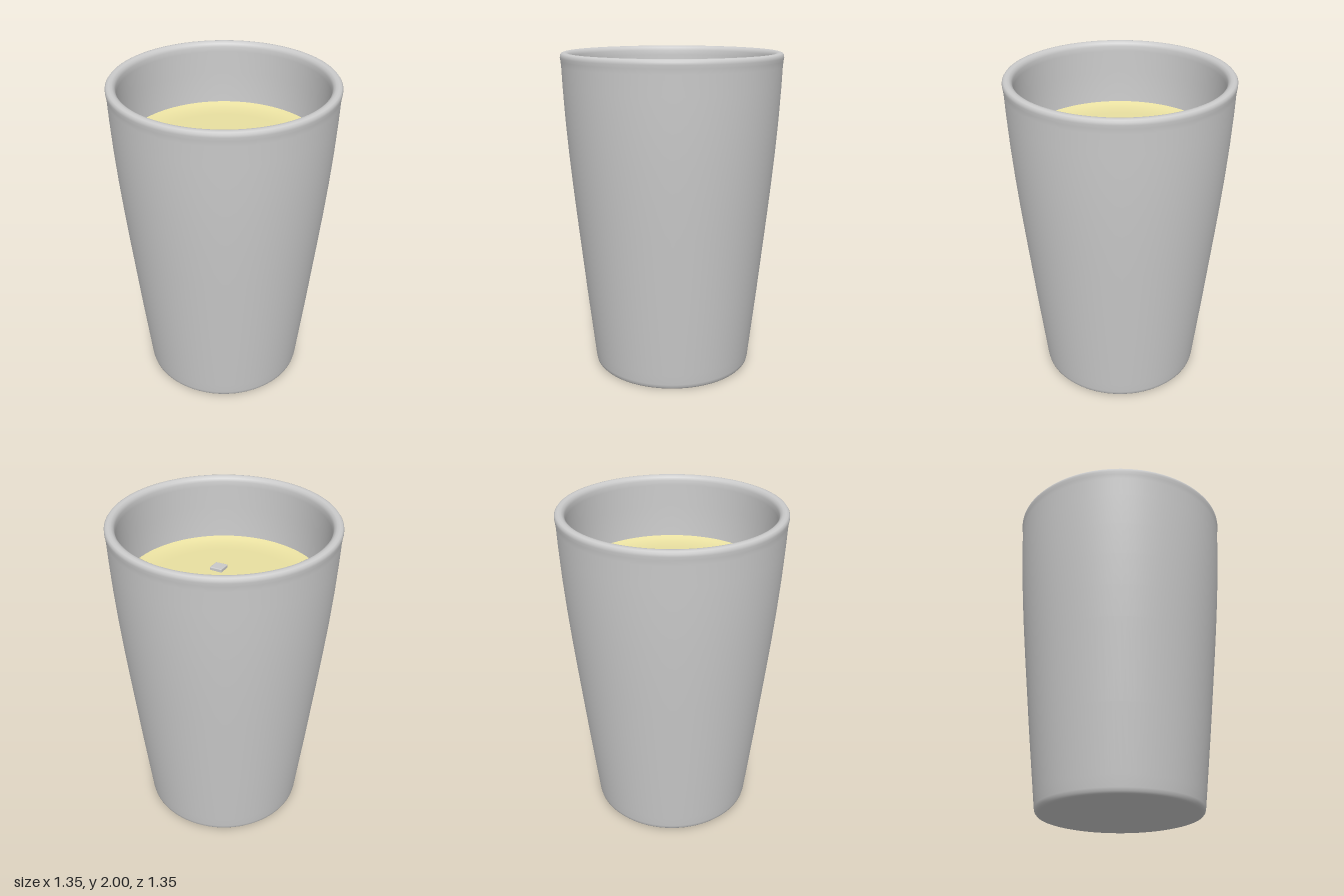
import * as THREE from 'three';
import { RoundedBoxGeometry } from 'three/addons/geometries/RoundedBoxGeometry.js';

const SEGMENTS = 96;

function lathe(name, points, material) {
  const profile = points.map(([r, y]) => new THREE.Vector2(r, y));
  const mesh = new THREE.Mesh(new THREE.LatheGeometry(profile, SEGMENTS), material);
  mesh.name = name;
  return mesh;
}

export function createModel() {
  const group = new THREE.Group();
  group.name = 'cupOfDrink';
  const grey = new THREE.MeshStandardMaterial({ color: 0xcccccc });
  const drink = new THREE.MeshStandardMaterial({ color: 0xe8dfa0 });

  // Cup wall: underside, outer wall, rolled lip, inner wall and floor
  group.add(lathe('cup', [
    [0, 0.006], [0.25, 0.005], [0.44, 0], [0.475, 0.001], [0.49, 0.005], [0.499, 0.016], [0.503, 0.035],
    [0.51, 0.1], [0.553, 0.5], [0.603, 1.0], [0.622, 1.2], [0.639, 1.4], [0.653, 1.6],
    [0.663, 1.8], [0.667, 1.92], [0.67, 1.95],
    [0.673, 1.97], [0.672, 1.985], [0.664, 1.996], [0.65, 2.0], [0.634, 1.998],
    [0.62, 1.988], [0.613, 1.97], [0.612, 1.94], [0.611, 1.8],
    [0.606, 1.6], [0.58, 1.3], [0.555, 1.0], [0.505, 0.5],
    [0.465, 0.12], [0.45, 0.085], [0.42, 0.07], [0, 0.07],
  ], grey));

  // Liquid body inside the cup
  group.add(lathe('liquidBody', [
    [0, 0.08], [0.42, 0.08], [0.5, 0.5], [0.55, 1.0], [0.575, 1.3], [0.605, 1.6],
  ], drink));

  // Liquid surface, curving gently up to the wall
  group.add(lathe('liquidSurface', [
    [0.605, 1.6], [0.58, 1.588], [0.55, 1.58], [0.51, 1.575], [0.46, 1.573], [0, 1.573],
  ], drink));

  // Small cubes floating with their tops just above the surface
  const cubes = [
    [0.172, -0.36, 0.03, 0.05],
    [0.144, -0.188, -0.04, -0.02],
    [0.134, 0.162, 0.04, 0.03],
  ];
  const cubeGeometry = new RoundedBoxGeometry(0.083, 0.083, 0.083, 2, 0.006);
  cubes.forEach(([x, z, tilt, turn], i) => {
    const cube = new THREE.Mesh(cubeGeometry, grey);
    cube.name = `floatingCube${i + 1}`;
    cube.position.set(x, 1.55, z);
    cube.rotation.set(tilt, turn, -tilt);
    group.add(cube);
  });

  return group;
}
